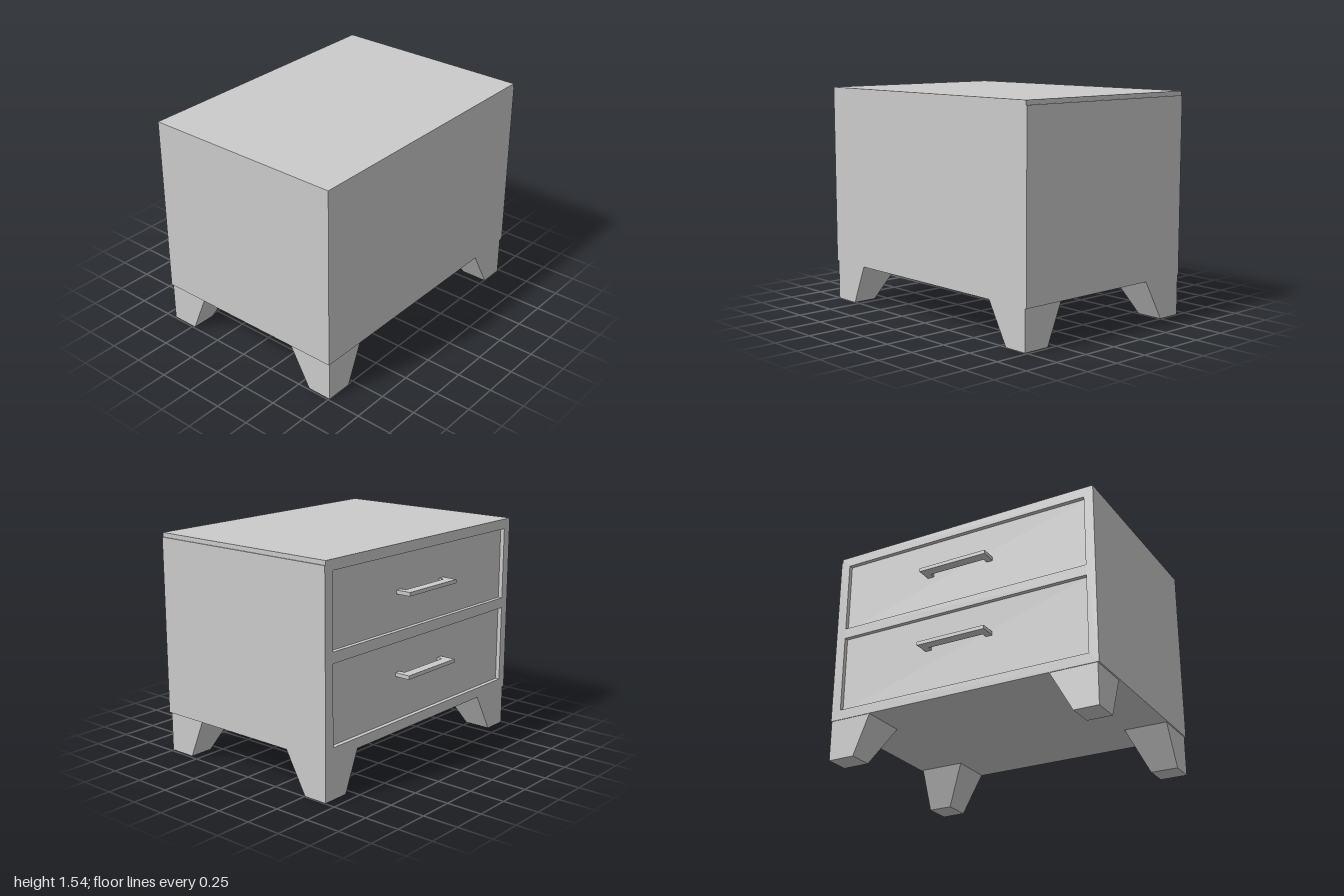
import * as THREE from 'three';

const material = new THREE.MeshStandardMaterial({ color: 0xcccccc, flatShading: true });

const BODY = { left: -1, right: 0.99, bottom: 0.28, top: 1.54, back: -0.68, front: 0.76 };
const FRAME_DEPTH = 0.04;

function add(parent, name, geometry) {
  const mesh = new THREE.Mesh(geometry, material);
  mesh.name = name;
  parent.add(mesh);
  return mesh;
}

// Box given by its minimum and maximum on each axis
function box(x0, x1, y0, y1, z0, z1) {
  return new THREE.BoxGeometry(x1 - x0, y1 - y0, z1 - z0)
    .translate((x0 + x1) / 2, (y0 + y1) / 2, (z0 + z1) / 2);
}

function rectangle(path, x0, x1, y0, y1) {
  path.moveTo(x0, y0);
  path.lineTo(x1, y0);
  path.lineTo(x1, y1);
  path.lineTo(x0, y1);
  path.closePath();
  return path;
}

// Leg with two upright outer faces; the inner faces taper towards the floor
function legGeometry(x, z, [topX, bottomX], [topZ, bottomZ]) {
  const h = BODY.bottom;
  const geometry = new THREE.BoxGeometry(1, h, 1).translate(0, h / 2, 0);
  const p = geometry.attributes.position;
  const sx = Math.sign(x), sz = Math.sign(z);
  for (let i = 0; i < p.count; i++) {
    const top = p.getY(i) > h / 2;
    if (p.getX(i) * sx > 0) p.setX(i, x);
    else p.setX(i, x - sx * (top ? topX : bottomX));
    if (p.getZ(i) * sz > 0) p.setZ(i, z);
    else p.setZ(i, z - sz * (top ? topZ : bottomZ));
  }
  geometry.computeVertexNormals();
  return geometry;
}

// Flat U-shaped pull, drawn in plan and given a small thickness
function handleGeometry(y) {
  const x0 = -0.24, x1 = 0.27, post = 0.047, outer = 0.76, inner = 0.69, root = 0.645;
  const shape = new THREE.Shape([
    [x0, root], [x0 + post, root], [x0 + post, inner], [x1 - post, inner],
    [x1 - post, root], [x1, root], [x1, outer], [x0, outer],
  ].map(([x, d]) => new THREE.Vector2(x, d)));
  return new THREE.ExtrudeGeometry(shape, { depth: 0.026, bevelEnabled: false })
    .rotateX(-Math.PI / 2)
    .translate(0, y - 0.013, 0);
}

export function createModel() {
  const group = new THREE.Group();
  group.name = 'nightstand';

  // Cabinet body and the thin panel on one side
  add(group, 'cabinetBody', box(BODY.left, BODY.right, BODY.bottom, BODY.top,
    BODY.back + FRAME_DEPTH, BODY.front));
  add(group, 'sidePanel', box(BODY.right - 0.01, 0.998, BODY.bottom, 1.51, BODY.back, BODY.front));

  // Drawer openings, with a recessed front and a pull in each
  const drawers = [
    { y0: 0.966, y1: 1.47, handleY: 1.218 },
    { y0: 0.351, y1: 0.892, handleY: 0.663 },
  ];
  const x0 = -0.934, x1 = 0.926;
  const frame = rectangle(new THREE.Shape(), BODY.left, BODY.right, BODY.bottom, BODY.top);
  for (const { y0, y1, handleY } of drawers) {
    frame.holes.push(rectangle(new THREE.Path(), x0, x1, y0, y1));
    const drawer = new THREE.Group();
    drawer.name = 'drawer';
    add(drawer, 'drawerFront', box(x0, x1, y0, y1, BODY.back + 0.03, BODY.back + FRAME_DEPTH));
    add(drawer, 'drawerHandle', handleGeometry(handleY));
    group.add(drawer);
  }
  add(group, 'drawerFrame',
    new THREE.ExtrudeGeometry(frame, { depth: FRAME_DEPTH, bevelEnabled: false })
      .translate(0, 0, BODY.back));

  // Legs: the same tapered leg, turned a quarter at each corner
  const narrow = [0.31, 0.193], wide = [0.33, 0.173];
  add(group, 'frontLeftLeg', legGeometry(0.982, 0.755, wide, narrow));
  add(group, 'frontRightLeg', legGeometry(-0.99, 0.755, narrow, wide));
  add(group, 'backLeftLeg', legGeometry(0.995, -0.675, narrow, wide));
  add(group, 'backRightLeg', legGeometry(-0.99, -0.675, wide, narrow));

  return group;
}
